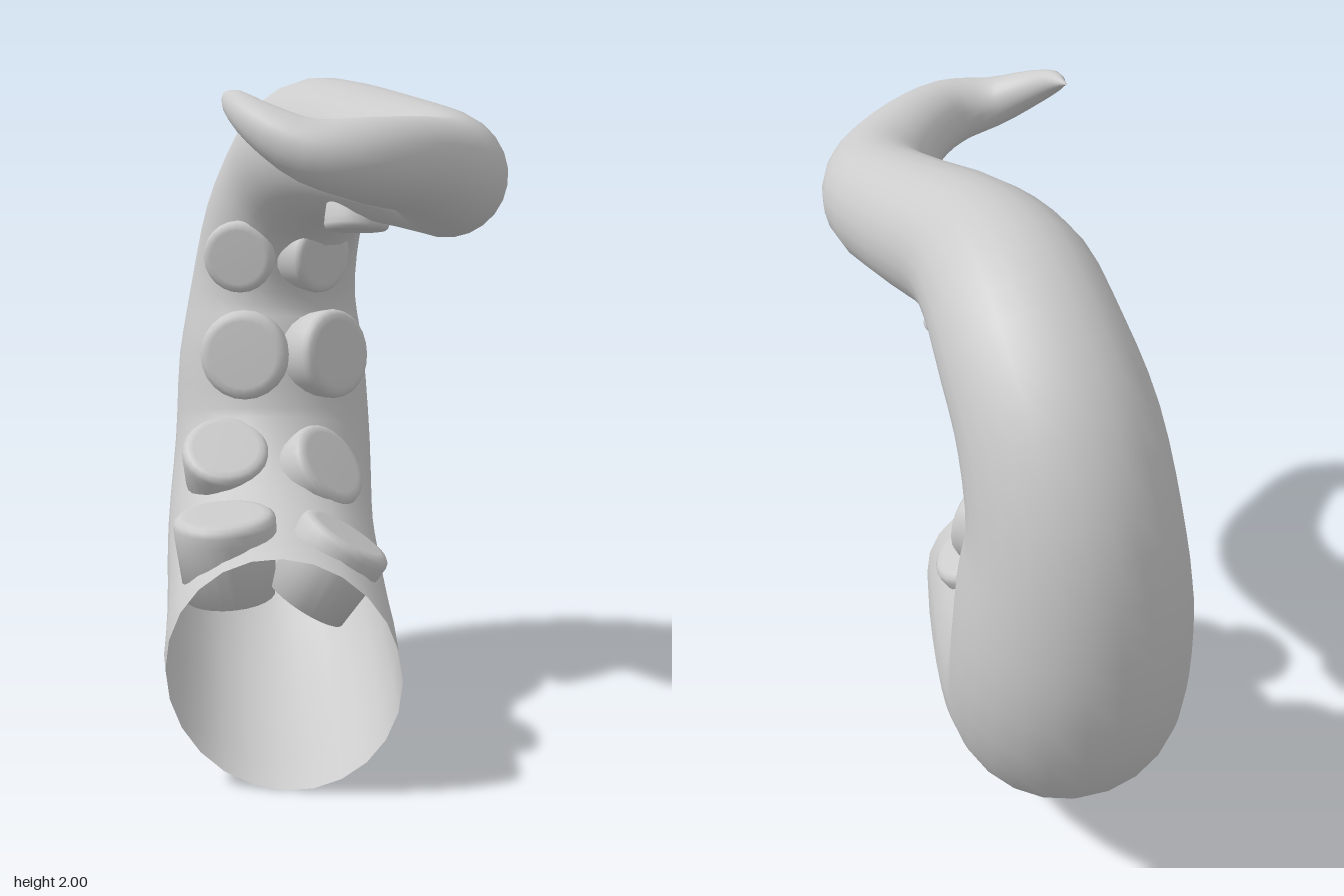
import * as THREE from 'three';

const material = new THREE.MeshStandardMaterial({ color: 0xcccccc, side: THREE.DoubleSide });

// Centre line of the arm with its radius: x, y, z, r
const SPINE = [
  [-0.255, 0.34, 0.23, 0.337],
  [0.01, 0.41, -0.135, 0.336],
  [0.19, 0.585, -0.4, 0.332],
  [0.307, 0.845, -0.54, 0.322],
  [0.332, 1.12, -0.577, 0.305],
  [0.342, 1.34, -0.58, 0.27],
  [0.322, 1.56, -0.5, 0.252],
  [0.28, 1.7, -0.365, 0.238],
  [0.21, 1.775, -0.2, 0.225],
  [0.15, 1.79, 0.0, 0.198],
  [0.12, 1.765, 0.25, 0.181],
  [0.06, 1.733, 0.5, 0.167],
  [-0.06, 1.725, 0.65, 0.15],
  [-0.25, 1.755, 0.745, 0.118],
  [-0.43, 1.768, 0.78, 0.1],
  [-0.55, 1.79, 0.71, 0.075],
  [-0.605, 1.85, 0.6, 0.053],
  [-0.605, 1.9, 0.5, 0.033],
  [-0.57, 1.928, 0.41, 0.003],
];

// Cap centre, facing direction, cap radius and depth
const SUCKERS = [
  [[-0.25, 0.755, -0.05], [-0.1, 1, 0.03], 0.15, 0.25],
  [[0.045, 0.69, 0.16], [0.4, 0.84, 0.33], 0.145, 0.24],
  [[-0.04, 0.885, -0.33], [-0.35, 0.75, 0.5], 0.135, 0.23],
  [[0.225, 0.835, -0.13], [0.2, 0.55, 0.8], 0.14, 0.23],
  [[0.05, 1.16, -0.36], [-0.7, 0.1, 0.65], 0.14, 0.2],
  [[0.315, 1.16, -0.205], [0.1, 0.12, 1], 0.14, 0.2],
  [[0.055, 1.46, -0.39], [-0.7, -0.05, 0.65], 0.112, 0.18],
  [[0.285, 1.46, -0.24], [0.1, -0.08, 1], 0.115, 0.18],
  [[0.285, 1.595, -0.06], [0.58, -0.75, 0.12], 0.095, 0.16],
  [[0.08, 1.563, 0.145], [-0.1, -1, 0.1], 0.093, 0.12],
];

// Tapering tube, open at its thick end
function armGeometry(rings = 54, sides = 24) {
  const spine = new THREE.CatmullRomCurve3(SPINE.map(([x, y, z]) => new THREE.Vector3(x, y, z)));
  const radius = new THREE.SplineCurve(SPINE.map((p, i) => new THREE.Vector2(i, p[3])));
  const positions = [], indices = [];
  const side = new THREE.Vector3(0, 1, 0);
  for (let i = 0; i <= rings; i++) {
    const t = i / rings;
    const centre = spine.getPoint(t);
    // the open end is cut upright
    const tangent = i ? spine.getTangent(t) : new THREE.Vector3(0.743, 0, -0.669);
    side.addScaledVector(tangent, -side.dot(tangent)).normalize();
    const across = tangent.clone().cross(side);
    const r = Math.max(radius.getPoint(t).y, 0.002);
    for (let j = 0; j < sides; j++) {
      const a = (j / sides) * Math.PI * 2;
      const v = centre.clone()
        .addScaledVector(side, r * Math.cos(a))
        .addScaledVector(across, r * Math.sin(a));
      positions.push(v.x, v.y, v.z);
      if (i < rings) {
        const k = (j + 1) % sides;
        const p = i * sides + j, q = i * sides + k;
        indices.push(p, q, p + sides, q, q + sides, p + sides);
      }
    }
  }
  const geometry = new THREE.BufferGeometry();
  geometry.setAttribute('position', new THREE.Float32BufferAttribute(positions, 3));
  geometry.setIndex(indices);
  geometry.computeVertexNormals();
  return geometry;
}

// Cup narrowing slightly to its base, with a softly rounded rim
function suckerGeometry(r, depth) {
  const profile = [
    [0, -depth], [r * 0.88, -depth], [r * 0.99, -r * 0.4], [r, -r * 0.2],
    [r * 0.97, -r * 0.09], [r * 0.88, -r * 0.02], [r * 0.75, 0], [0, 0],
  ].map(([x, y]) => new THREE.Vector2(x, y));
  return new THREE.LatheGeometry(profile, 24);
}

export function createModel() {
  const group = new THREE.Group();
  group.name = 'tentacle';

  const arm = new THREE.Mesh(armGeometry(), material);
  arm.name = 'arm';
  group.add(arm);

  // Two rows of suckers along the inside of the curl
  const suckers = new THREE.Group();
  suckers.name = 'suckers';
  const up = new THREE.Vector3(0, 1, 0);
  SUCKERS.forEach(([position, facing, r, depth], i) => {
    const sucker = new THREE.Mesh(suckerGeometry(r, depth), material);
    sucker.name = `sucker${i + 1}`;
    sucker.position.set(...position);
    sucker.quaternion.setFromUnitVectors(up, new THREE.Vector3(...facing).normalize());
    suckers.add(sucker);
  });
  group.add(suckers);
  return group;
}
